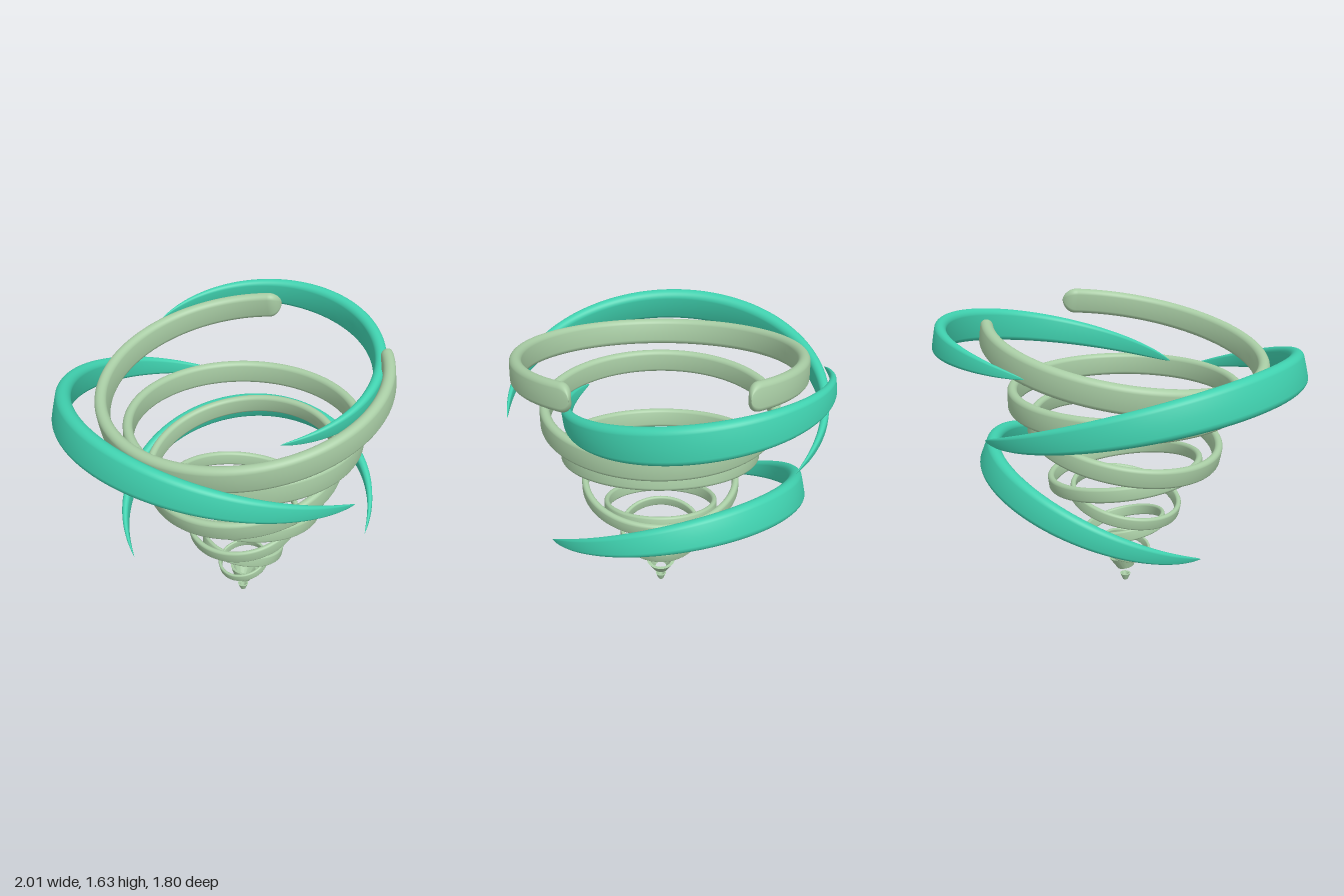
import * as THREE from 'three';
import { ParametricGeometry } from 'three/addons/geometries/ParametricGeometry.js';
import { toCreasedNormals } from 'three/addons/utils/BufferGeometryUtils.js';

const CENTRE_Z = 0.03;

// Curved band lying in the tilted plane y = y0 + slopeX * x + slopeZ * z around (cx, cz).
// radius(t) is its outer radius, scale(t) its relative size along the arc.
function bandGeometry({ cx = 0, cz = 0, y, slopeX = 0, slopeZ = 0, from = 0, to = Math.PI * 2,
  radius, thickness, height, scale, segments = 128 }) {
  const n = new THREE.Vector3(-slopeX, 1, -slopeZ).normalize();
  const u = new THREE.Vector3(1, slopeX, 0).normalize();
  const w = new THREE.Vector3().crossVectors(u, n).normalize();
  return new ParametricGeometry((p, q, out) => {
    const t = scale ? 0.5 - 0.5 * Math.cos(Math.PI * p) : p; // finer steps at open ends
    const s = scale ? Math.max(0.02, scale(t)) : 1;
    const a = from + (to - from) * t, b = q * Math.PI * 2;
    const round = thickness * s / 2, half = height * s / 2;
    // stadium profile: rounded top and bottom, straight sides
    const r = radius(t) - round + round * Math.cos(b);
    const h = -round * Math.sin(b) - Math.tanh(Math.sin(b) * 12) * (half - round);
    out.set(cx, y, cz)
      .addScaledVector(u, r * Math.cos(a))
      .addScaledVector(w, r * Math.sin(a))
      .addScaledVector(n, h);
  }, segments, 32);
}

// Crescent between two tips given as [x, z] on the plane
function crescentGeometry({ cx, cz, y0, slopeX, slopeZ, tips, R, thickness, height }) {
  const y = y0 + slopeX * cx + slopeZ * cz;
  const n = new THREE.Vector3(-slopeX, 1, -slopeZ).normalize();
  const u = new THREE.Vector3(1, slopeX, 0).normalize();
  const w = new THREE.Vector3().crossVectors(u, n).normalize();
  const [a, b] = tips.map(([x, z]) => {
    const d = new THREE.Vector3(x - cx, slopeX * (x - cx) + slopeZ * (z - cz), z - cz);
    return { angle: Math.atan2(d.dot(w), d.dot(u)), r: d.length() };
  });
  const to = b.angle > a.angle ? b.angle : b.angle + Math.PI * 2;
  const bump = R - (a.r + b.r) / 2;
  return bandGeometry({
    cx, cz, y, slopeX, slopeZ, from: a.angle, to, thickness, height,
    radius: t => a.r + (b.r - a.r) * t + bump * Math.sin(Math.PI * t),
    scale: t => Math.pow(Math.max(0, Math.sin(Math.PI * t)), 0.7),
  });
}

// Hollow conical cup
function cupGeometry(bottom, top, height, wall) {
  const h = height / 2;
  const profile = [[bottom, -h], [top, h], [top - wall, h], [bottom - wall, -h], [bottom, -h]];
  return toCreasedNormals(
    new THREE.LatheGeometry(profile.map(p => new THREE.Vector2(...p)), 48), 0.6);
}

export function createModel() {
  const group = new THREE.Group();
  const green = new THREE.MeshStandardMaterial({ color: 0xa8cca4, side: THREE.DoubleSide });
  const teal = new THREE.MeshStandardMaterial({ color: 0x3fd0ae, side: THREE.DoubleSide });
  const add = (name, geometry, material) => {
    const mesh = new THREE.Mesh(geometry, material);
    mesh.name = name;
    group.add(mesh);
    return mesh;
  };

  // Funnel tip and the tilted cup above it
  add('funnelTip', cupGeometry(0.015, 0.031, 0.038, 0.01), green).position.set(0, 0.019, CENTRE_Z);
  const cup = add('funnelCup', cupGeometry(0.05, 0.085, 0.07, 0.018), green);
  cup.position.set(0.005, 0.122, CENTRE_Z);
  cup.rotation.z = -0.22;

  // Closed rings: height of centre, outer radius, tilt in degrees, thickness, band height
  const rings = [
    [0.225, 0.149, 15, 0.018, 0.05],
    [0.37, 0.24, -13, 0.024, 0.068],
    [0.55, 0.327, 12.5, 0.03, 0.075],
    [0.715, 0.449, -8.5, 0.038, 0.085],
    [0.935, 0.557, 11, 0.046, 0.112],
    [1.17, 0.658, 0, 0.055, 0.135],
  ];
  rings.forEach(([y, r, tilt, thickness, height], i) => add('funnelRing' + (i + 1), bandGeometry({
    cz: CENTRE_Z, y, slopeX: Math.tan(THREE.MathUtils.degToRad(tilt)),
    radius: () => r, thickness, height,
  }), green));

  // Open top ring with rounded ends
  const gap = 0.57, arc = Math.PI * 2 - gap * 2, cap = 0.09;
  add('openTopRing', bandGeometry({
    cz: CENTRE_Z, y: 1.445, slopeX: 0.18, from: gap, to: gap + arc,
    radius: () => 0.797, thickness: 0.066, height: 0.15,
    scale: t => {
      const d = Math.min(t, 1 - t) * arc;
      return d >= cap ? 1 : Math.sqrt(Math.max(0, 1 - (1 - d / cap) ** 2));
    },
  }), green);

  // Wind crescents around the funnel
  add('upperRightCrescent', crescentGeometry({
    cx: 0.3, cz: -0.17, y0: 1.347, slopeX: 0.135, slopeZ: -0.131,
    tips: [[0.1, -0.835], [-0.09, 0.42]], R: 0.69, thickness: 0.075, height: 0.19,
  }), teal);
  add('upperLeftCrescent', crescentGeometry({
    cx: -0.13, cz: -0.01, y0: 1.146, slopeX: -0.27, slopeZ: -0.03,
    tips: [[0, 0.875], [0.47, -0.67]], R: 0.9, thickness: 0.085, height: 0.2,
  }), teal);
  add('lowerCrescent', crescentGeometry({
    cx: 0.087, cz: -0.045, y0: 0.562, slopeX: 0.349, slopeZ: -0.197,
    tips: [[-0.6, -0.24], [0.4, 0.62]], R: 0.745, thickness: 0.08, height: 0.18,
  }), teal);

  return group;
}
